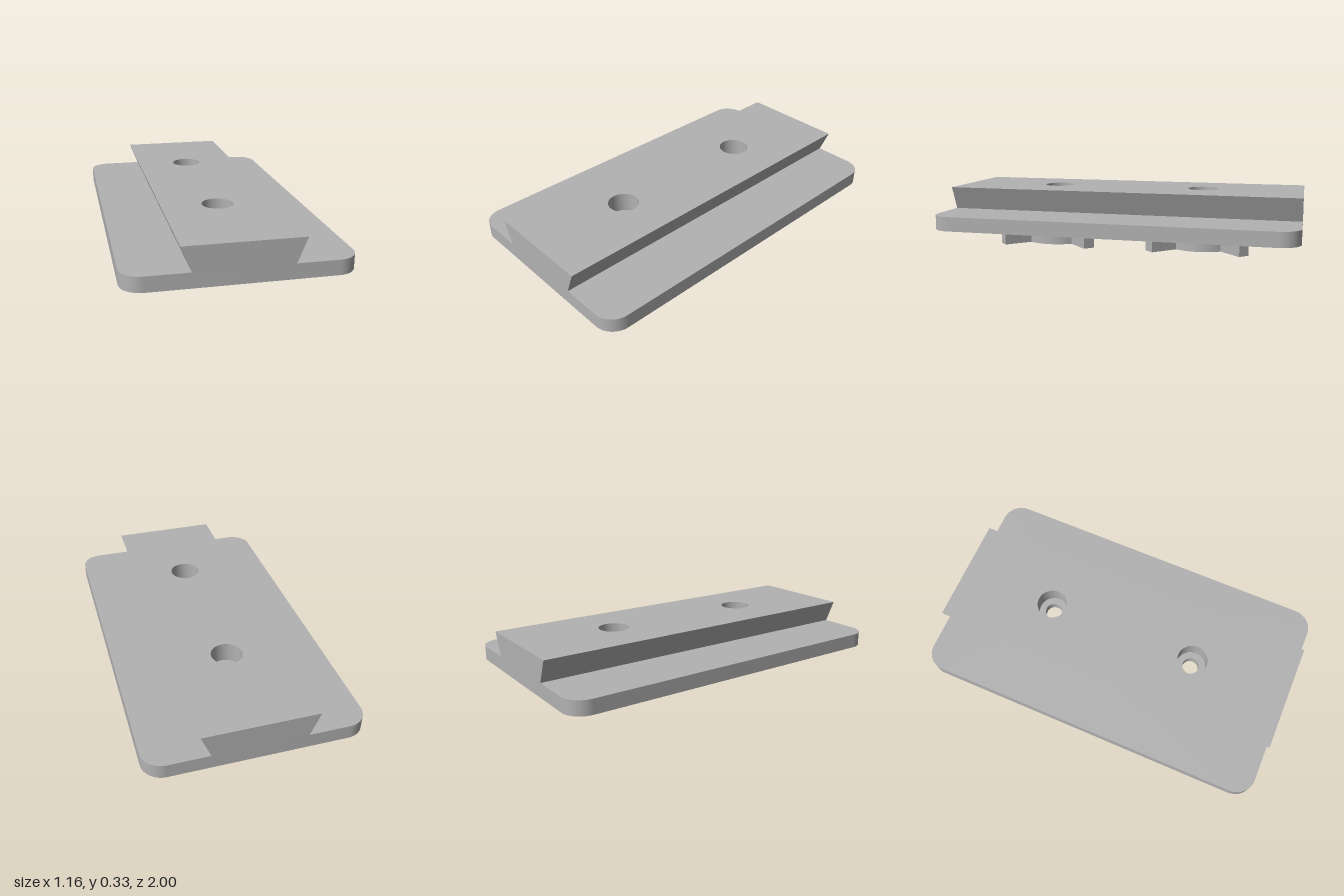
import * as THREE from 'three';
import { toCreasedNormals } from 'three/addons/utils/BufferGeometryUtils.js';

const HOLE_Z = [-0.437, 0.437];
const SCREW_R = 0.047, HEAD_R = 0.085, BORE_R = 0.157;

// Rounded rectangle in plan, r = 0 gives sharp corners
function plan(hx, hz, r) {
  const s = new THREE.Shape();
  if (r === 0) {
    s.moveTo(-hx, -hz).lineTo(hx, -hz).lineTo(hx, hz).lineTo(-hx, hz).closePath();
    return s;
  }
  s.absarc(hx - r, hz - r, r, 0, Math.PI / 2);
  s.absarc(-hx + r, hz - r, r, Math.PI / 2, Math.PI);
  s.absarc(-hx + r, -hz + r, r, Math.PI, Math.PI * 1.5);
  s.absarc(hx - r, -hz + r, r, Math.PI * 1.5, Math.PI * 2);
  s.closePath();
  return s;
}

function drill(shape, r, centres) {
  for (const c of centres) {
    shape.holes.push(new THREE.Path().absarc(0, c, r, 0, Math.PI * 2, true));
  }
  return shape;
}

// Extrude a plan shape upward from y0 to y1
function slab(shape, y0, y1) {
  const g = new THREE.ExtrudeGeometry(shape, { depth: y1 - y0, bevelEnabled: false, curveSegments: 24 });
  return g.rotateX(-Math.PI / 2).translate(0, y0, 0);
}

// Widen the outer edges of a rail layer with height to form the dovetail
function flare(g) {
  const p = g.attributes.position;
  for (let i = 0; i < p.count; i++) {
    const x = p.getX(i);
    if (Math.abs(x) > 0.2) {
      const t = (p.getY(i) - 0.2) / 0.13;
      p.setX(i, Math.sign(x) * (0.25 + 0.053 * t));
    }
  }
  return g;
}

// Ring with four diagonal arms
function bossShape() {
  const R = 0.211, w = 0.032, L = 0.371, a = Math.asin(w / R);
  const s = new THREE.Shape();
  for (let k = 0; k < 4; k++) {
    const t = Math.PI / 4 + k * Math.PI / 2, c = Math.cos(t), n = Math.sin(t);
    const tip = (side) => [L * c - side * w * n, L * n + side * w * c];
    if (k === 0) s.moveTo(...tip(-1));
    else s.lineTo(...tip(-1));
    s.lineTo(...tip(1));
    s.absarc(0, 0, R, t + a, t + Math.PI / 2 - a);
  }
  s.closePath();
  return drill(s, BORE_R, [0]);
}

export function createModel() {
  const model = new THREE.Group();
  model.name = 'dovetailPlate';
  const grey = new THREE.MeshStandardMaterial({ color: 0xb2b2b2 });
  grey.name = 'grey';

  const add = (name, geometry, z = 0) => {
    const mesh = new THREE.Mesh(toCreasedNormals(geometry, 0.5), grey);
    mesh.name = name;
    mesh.position.z = z;
    model.add(mesh);
  };

  // Base plate: wide bores below, screw holes above
  add('plateLower', slab(drill(plan(0.578, 1, 0.11), BORE_R, HOLE_Z), 0.12, 0.17));
  add('plateUpper', slab(drill(plan(0.578, 1, 0.11), SCREW_R, HOLE_Z), 0.17, 0.2));

  // Dovetail rail with counterbored screw holes
  add('railLower', flare(slab(drill(plan(0.25, 1, 0), SCREW_R, HOLE_Z), 0.2, 0.22)));
  add('railUpper', flare(slab(drill(plan(0.25, 1, 0), HEAD_R, HOLE_Z), 0.22, 0.33)));

  // Locating bosses under the plate
  for (const z of HOLE_Z) add(z > 0 ? 'frontBoss' : 'backBoss', slab(bossShape(), 0, 0.12), z);

  return model;
}
